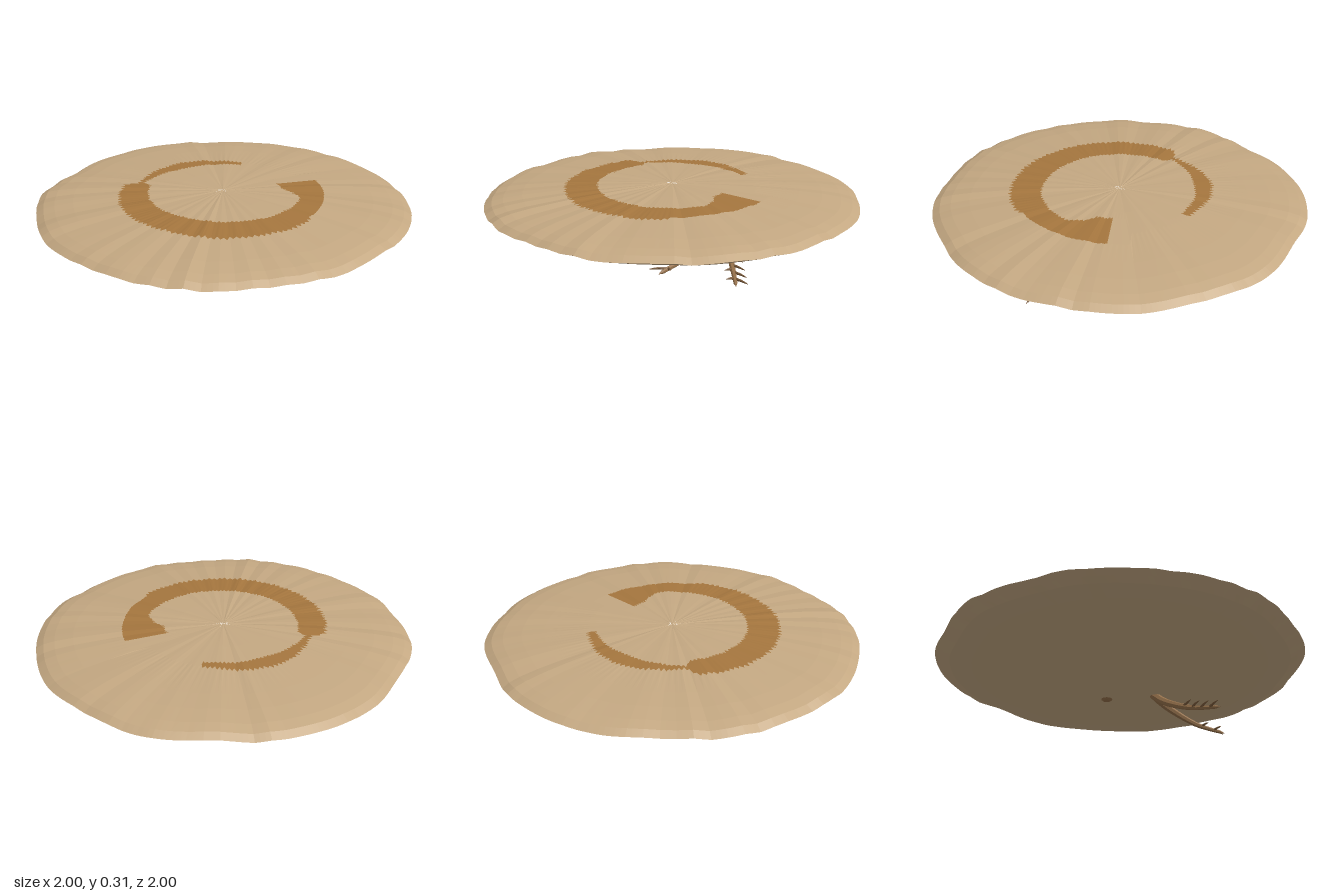
import * as THREE from 'three';

const mat = (name, color, flat = false) => {
  const m = new THREE.MeshStandardMaterial({ color, flatShading: flat });
  m.name = name;
  return m;
};

// Eased lookup in a list of [position, value] keys
function keyed(keys, t, ease = false) {
  if (t <= keys[0][0]) return keys[0][1];
  for (let i = 1; i < keys.length; i++) {
    if (t <= keys[i][0]) {
      let f = (t - keys[i - 1][0]) / (keys[i][0] - keys[i - 1][0]);
      if (ease) f = f * f * (3 - 2 * f);
      return keys[i - 1][1] + f * (keys[i][1] - keys[i - 1][1]);
    }
  }
  return keys[keys.length - 1][1];
}

function seeded(seed) {
  return () => {
    seed = (seed * 16807) % 2147483647;
    return seed / 2147483647;
  };
}

const SEG = 240;
const TOP = [[0, 0.317], [0.3, 0.316], [0.55, 0.309], [0.8, 0.29], [0.9, 0.277], [0.96, 0.263], [1, 0.241]];
const BOTTOM = [[0, 0.185], [0.55, 0.186], [0.8, 0.196], [0.92, 0.207], [1, 0.241]];
// Rim radius by angle from the front, mirrored left and right
const RIM = [[0, 0.995], [20, 0.98], [37, 1], [53, 1], [70, 0.992], [90, 1], [108, 0.987],
  [127, 1], [148, 0.97], [165, 0.995], [180, 1]];
// Edges of the painted band by angle from +x towards the front
const INNER = [[11, 0.31], [27, 0.32], [34, 0.37], [45, 0.42], [90, 0.42], [135, 0.405], [180, 0.4],
  [223, 0.4], [226, 0.45], [240, 0.43], [270, 0.4], [315, 0.41]];
const OUTER = [[11, 0.54], [40, 0.54], [68, 0.555], [72, 0.58], [110, 0.59], [150, 0.575], [200, 0.56],
  [221, 0.54], [226, 0.475], [268, 0.5], [315, 0.45]];

function createDisc(sand, ochre) {
  const rnd = seeded(77);
  const folds = Array.from({ length: 80 }, () => rnd() - 0.5);
  const jag = Array.from({ length: SEG }, (_, i) => (i % 2 ? 1 : -1) * (0.005 + 0.012 * rnd()));
  const deg = (i) => ((i % SEG) * 360) / SEG;

  // Radial pleats, calmer at the back
  const pleat = (i) => {
    const t = ((i % SEG) / SEG) * folds.length;
    const a = Math.floor(t), f = t - a;
    const calm = 1 - 0.6 * Math.exp(-(((deg(i) - 262) / 25) ** 2));
    return calm * (folds[a] * (1 - f) + folds[(a + 1) % folds.length] * f);
  };
  const point = (i, r, profile, amp) => {
    const a = THREE.MathUtils.degToRad(deg(i));
    const front = Math.abs(THREE.MathUtils.radToDeg(Math.atan2(Math.cos(a), Math.sin(a))));
    const k = r * (1 + (keyed(RIM, front, true) - 1) * r * r);
    return [k * Math.cos(a), keyed(profile, r) + pleat(i) * amp(r), k * Math.sin(a)];
  };
  const topAmp = (r) => 0.0015 + 0.0105 * r;
  const bottomAmp = (r) => 0.012 * THREE.MathUtils.smoothstep(r, 0.88, 1);

  // Rows are radii or functions of the segment; pick selects cells
  const sheet = (rows, profile, amp, up, pick) => {
    const pos = [];
    const at = (j, i) => point(i, typeof rows[j] === 'function' ? rows[j](i % SEG) : rows[j], profile, amp);
    for (let j = 0; j < rows.length - 1; j++) {
      for (let i = 0; i < SEG; i++) {
        if (!pick(j, i)) continue;
        const a = at(j, i), b = at(j, i + 1), c = at(j + 1, i + 1), d = at(j + 1, i);
        const tris = up ? [a, c, d] : [a, d, c];
        pos.push(...tris.flat());
        if (j > 0) pos.push(...(up ? [a, b, c] : [a, c, b]).flat());
      }
    }
    const g = new THREE.BufferGeometry();
    g.setAttribute('position', new THREE.Float32BufferAttribute(pos, 3));
    g.computeVertexNormals();
    return g;
  };

  const inner = (i) => keyed(INNER, deg(i)) + jag[i] * 0.6;
  const outer = (i) => keyed(OUTER, deg(i)) + jag[i] * (deg(i) < 68 ? 0.2 : 1);
  const rows = [0, 0.04, 0.12, 0.25, inner, outer, 0.68, 0.8, 0.9, 0.96, 1];
  const painted = (j, i) => j === 4 && deg(i) >= 11 && deg(i) < 315;

  const group = new THREE.Group();
  group.name = 'disc';
  const add = (name, g, m) => {
    const mesh = new THREE.Mesh(g, m);
    mesh.name = name;
    group.add(mesh);
  };
  add('pleatedTop', sheet(rows, TOP, topAmp, true, (j, i) => !painted(j, i)), sand);
  add('paintedBand', sheet(rows, TOP, topAmp, true, painted), ochre);
  add('underside', sheet([0, 0.55, 0.8, 0.92, 0.96, 1], BOTTOM, bottomAmp, false, () => true), sand);
  return group;
}

// Tapered rod along a curve, closing to a point
function taperedRod(points, r0, r1, sides, steps) {
  const curve = new THREE.CatmullRomCurve3(points);
  const g = new THREE.TubeGeometry(curve, steps, 1, sides, false);
  const p = g.attributes.position, v = new THREE.Vector3();
  for (let i = 0; i < p.count; i++) {
    const t = Math.floor(i / (sides + 1)) / steps;
    const c = curve.getPointAt(t);
    v.fromBufferAttribute(p, i).sub(c).multiplyScalar(t === 1 ? 0.0005 : r0 + (r1 - r0) * t).add(c);
    p.setXYZ(i, v.x, v.y, v.z);
  }
  g.computeVertexNormals();
  return g;
}

// One branch of the forked leg; side is +1 for the left one
function createBranch(side, bark, twig) {
  const group = new THREE.Group();
  group.name = side > 0 ? 'leftBranch' : 'rightBranch';
  const path = [[0, 0.195, 0.14], [0.03, 0.14, 0.2], [0.08, 0.085, 0.29], [0.13, 0.045, 0.38], [0.2, 0.012, 0.53]]
    .map(([x, y, z]) => new THREE.Vector3(0.34 + side * x, y, z));
  const stem = new THREE.Mesh(taperedRod(path, 0.024, 0.009, 7, 16), bark);
  stem.name = 'stem';
  group.add(stem);

  // Barbs: long ones outside, short ones inside
  const curve = new THREE.CatmullRomCurve3(path);
  const barb = (t, dx, dy, dz) => {
    const a = curve.getPointAt(t);
    const b = a.clone().add(new THREE.Vector3(side * dx, dy, dz));
    const mid = a.clone().lerp(b, 0.5).add(new THREE.Vector3(0, 0.004, 0));
    const mesh = new THREE.Mesh(taperedRod([a, mid, b], 0.009, 0.003, 5, 4), twig);
    mesh.name = 'barb';
    group.add(mesh);
  };
  [0.5, 0.62, 0.74, 0.86].forEach((t) => barb(t, 0.085, 0.003, 0.05));
  [0.7, 0.86].forEach((t) => barb(t, -0.03, 0.01, 0.045));
  return group;
}

export function createModel() {
  const sand = mat('sand', 0xc4a882, true);
  const ochre = mat('ochre', 0xa5763e, true);
  const bark = mat('bark', 0x94704a, true);
  const twig = mat('twig', 0x7a5a3a, true);

  const model = new THREE.Group();
  model.name = 'discWithForkedLeg';
  model.add(createDisc(sand, ochre));

  const leg = new THREE.Group();
  leg.name = 'forkedLeg';
  leg.add(createBranch(1, bark, twig), createBranch(-1, bark, twig));
  model.add(leg);

  // Small stump on the underside behind the leg
  const stump = new THREE.Mesh(new THREE.CylinderGeometry(0.036, 0.02, 0.012, 9), bark);
  stump.name = 'stump';
  stump.position.set(0.34, 0.182, -0.13);
  model.add(stump);
  return model;
}
